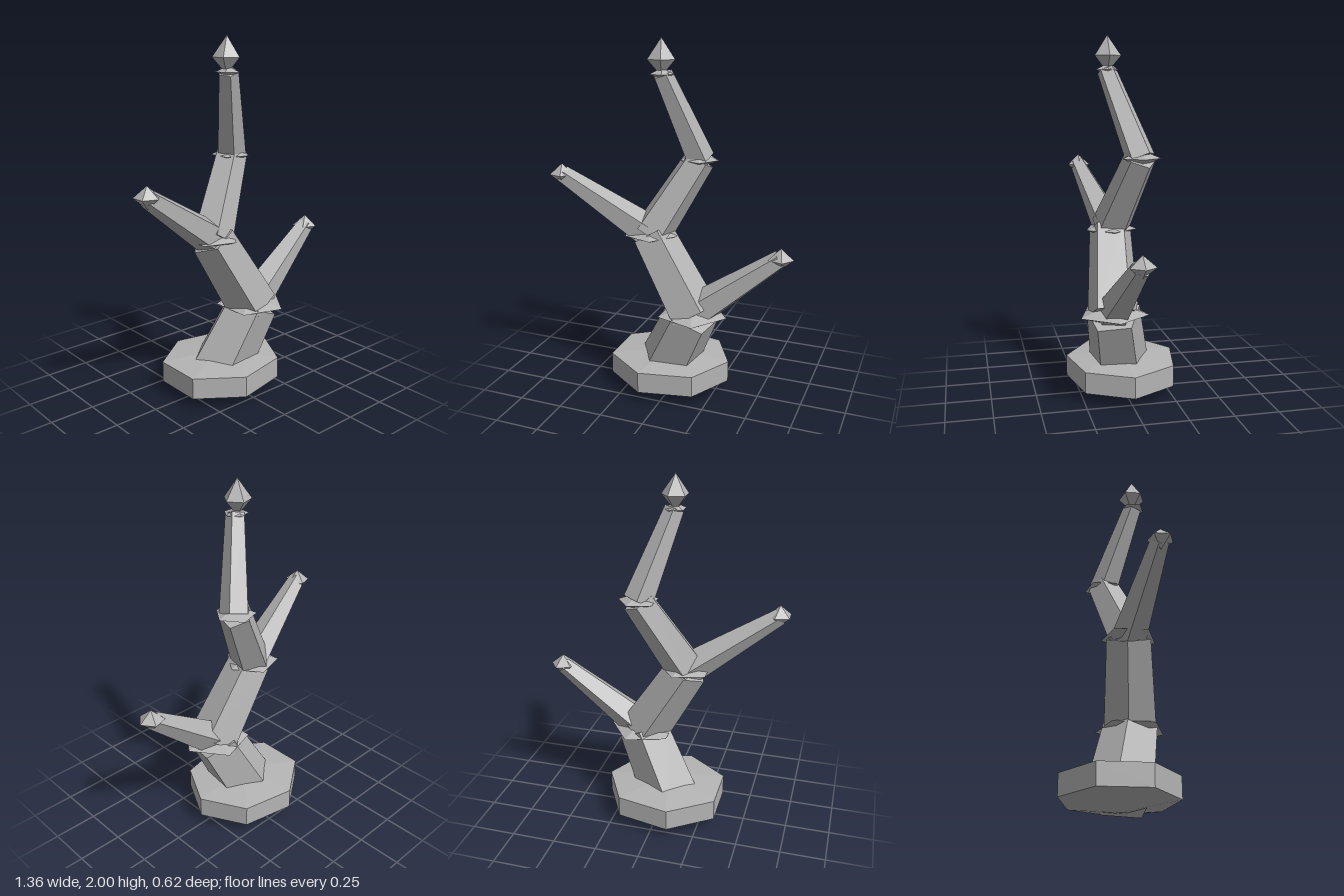
import * as THREE from 'three';

const stone = new THREE.MeshStandardMaterial({ color: 0xb4b4b4, flatShading: true });
stone.name = 'stone grey';

const UP = new THREE.Vector3(0, 1, 0);
const SPIN = THREE.MathUtils.degToRad(44);

function add(group, name, geometry) {
  const mesh = new THREE.Mesh(geometry, stone);
  mesh.name = name;
  group.add(mesh);
  return mesh;
}

// Tapered five-sided limb between two points
function limb(group, name, from, to, r0, r1) {
  const a = new THREE.Vector3(...from);
  const b = new THREE.Vector3(...to);
  const dir = b.clone().sub(a);
  const mesh = add(group, name, new THREE.CylinderGeometry(r1, r0, dir.length(), 5, 1, false, SPIN));
  mesh.position.copy(a).add(b).multiplyScalar(0.5);
  mesh.quaternion.setFromUnitVectors(UP, dir.normalize());
}

// Five-sided double cone, used for the joint collars and the buds
function doubleCone(group, name, at, r, below, above) {
  const profile = [[0, -below], [r, 0], [0, above]].map(([x, y]) => new THREE.Vector2(x, y));
  add(group, name, new THREE.LatheGeometry(profile, 5, Math.PI / 2)).position.set(...at);
}

export function createModel() {
  const model = new THREE.Group();
  model.name = 'branchingStem';

  // Seven-sided base with shallow cones above and below
  const profile = [[0, 0.015], [1, 0.07], [1, 0.19], [0, 0.225]].map(([x, y]) => new THREE.Vector2(x, y));
  const base = add(model, 'base', new THREE.LatheGeometry(profile, 7, Math.PI / 2));
  base.scale.set(0.352, 1, 0.318);
  base.position.x = -0.03;

  // Zigzag trunk: joint centres with limb radii at both ends
  const joints = [[-0.07, 0.08, 0], [0.13, 0.495, 0.08], [-0.13, 0.925, 0.045], [0.11, 1.345, -0.075], [-0.045, 1.815, 0.08]];
  const radii = [[0.18, 0.155], [0.15, 0.125], [0.115, 0.09], [0.085, 0.055]];
  radii.forEach(([r0, r1], i) => limb(model, 'trunkSegment' + (i + 1), joints[i], joints[i + 1], r0, r1));

  // Collars around the joints
  const collars = [[0.2, 0.065], [0.155, 0.055], [0.113, 0.045], [0.068, 0.03]];
  collars.forEach(([r, h], i) => doubleCone(model, 'collar' + (i + 1), joints[i + 1], r, h, h));

  // Side branches
  const leftEnd = [0.61, 0.865, 0.035];
  const rightEnd = [-0.62, 1.25, 0.15];
  limb(model, 'leftBranch', joints[1], leftEnd, 0.105, 0.052);
  limb(model, 'rightBranch', joints[2], rightEnd, 0.1, 0.05);

  // Buds at the tips
  doubleCone(model, 'leftBud', leftEnd, 0.073, 0.06, 0.06);
  doubleCone(model, 'rightBud', rightEnd, 0.07, 0.06, 0.06);
  doubleCone(model, 'topBud', [-0.05, 1.89, 0.075], 0.077, 0.09, 0.11);

  return model;
}
